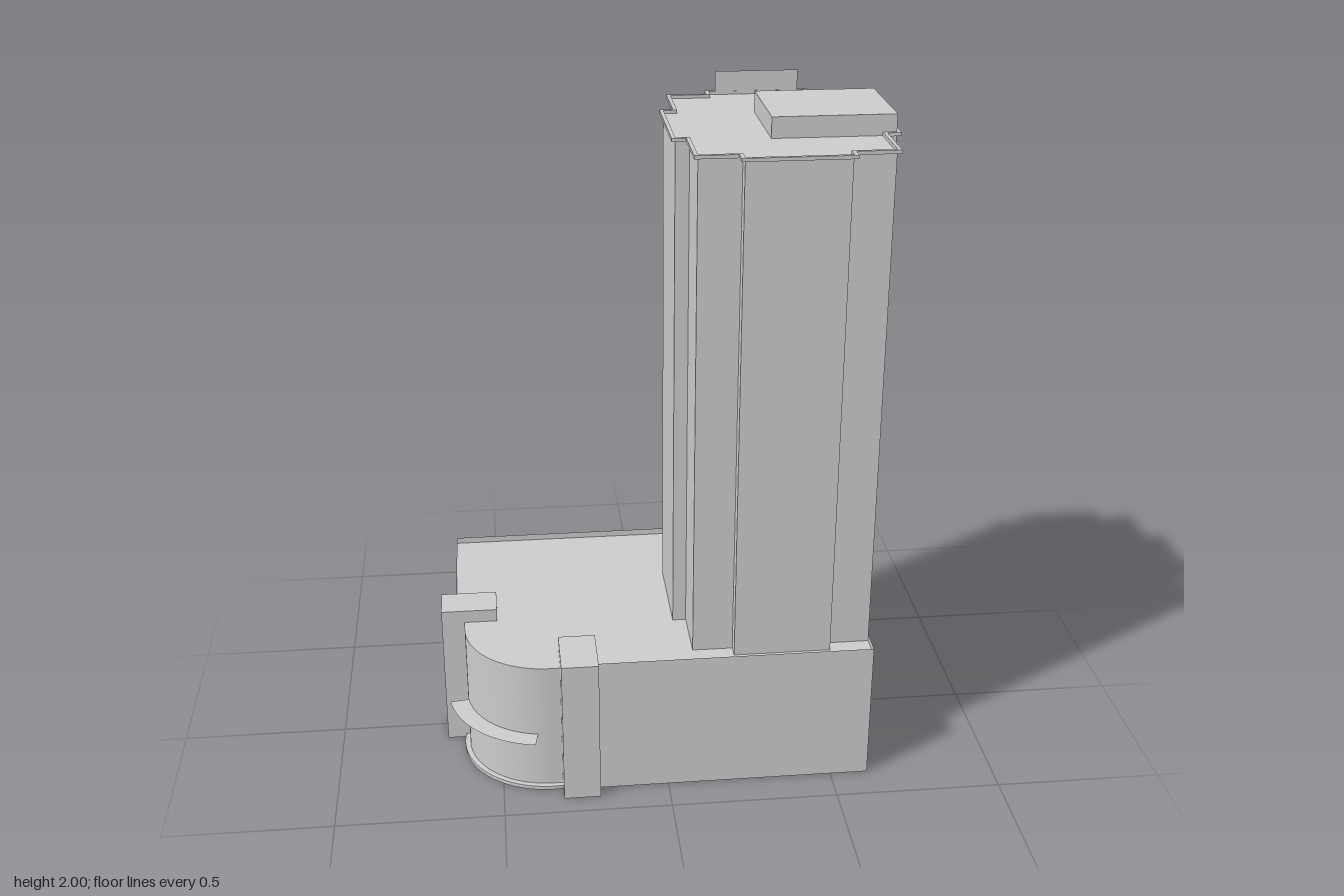
import * as THREE from 'three';

const material = new THREE.MeshStandardMaterial({ color: 0xcccccc, side: THREE.DoubleSide });

function add(parent, name, geometry, x = 0, y = 0, z = 0) {
  const mesh = new THREE.Mesh(geometry, material);
  mesh.name = name;
  mesh.position.set(x, y, z);
  parent.add(mesh);
  return mesh;
}

// Plan points are [x, z]; a shape's y becomes -z once laid flat.
const planShape = (pts) => new THREE.Shape(pts.map(([x, z]) => new THREE.Vector2(x, -z)));
const flat = (shape) => new THREE.ShapeGeometry(shape).rotateX(-Math.PI / 2);
const raised = (shape, depth) =>
  new THREE.ExtrudeGeometry(shape, { depth, bevelEnabled: false }).rotateX(-Math.PI / 2);

// Thin upright walls along a plan path that runs clockwise seen from above.
function walls(pts, y0, y1) {
  const pos = [];
  for (let i = 0; i + 1 < pts.length; i++) {
    const [ax, az] = pts[i], [bx, bz] = pts[i + 1];
    pos.push(bx, y0, bz, ax, y0, az, ax, y1, az, bx, y0, bz, ax, y1, az, bx, y1, bz);
  }
  const g = new THREE.BufferGeometry();
  g.setAttribute('position', new THREE.Float32BufferAttribute(pos, 3));
  g.computeVertexNormals();
  return g;
}

// Block without a floor.
function hollowBlock(parent, name, x0, x1, z0, z1, height) {
  const group = new THREE.Group();
  group.name = name;
  const pts = [[x0, z1], [x0, z0], [x1, z0], [x1, z1]];
  add(group, name + 'Walls', walls([...pts, pts[0]], 0, height));
  add(group, name + 'Top', flat(planShape(pts)), 0, height, 0);
  parent.add(group);
}

// Stepped tower plan, optionally grown outward by d.
function towerPlan(d = 0) {
  const x = [0.04 - d, 0.08 - d, 0.2 - d, 0.49 + d, 0.615 + d, 0.655 + d];
  const z = [-0.395 - d, -0.355 - d, -0.175 - d, 0.13 + d, 0.31 + d, 0.35 + d];
  return [
    [x[0], z[3]], [x[0], z[2]], [x[1], z[2]], [x[1], z[1]], [x[2], z[1]],
    [x[2], z[0]], [x[3], z[0]], [x[3], z[1]], [x[4], z[1]], [x[4], z[2]],
    [x[5], z[2]], [x[5], z[3]], [x[4], z[3]], [x[4], z[4]], [x[3], z[4]],
    [x[3], z[5]], [x[2], z[5]], [x[2], z[4]], [x[1], z[4]], [x[1], z[3]],
  ];
}

export function createModel() {
  const model = new THREE.Group();
  model.name = 'towerBuilding';

  // Podium: straight walls with a low parapet, open underneath
  const podium = new THREE.Group();
  podium.name = 'podium';
  model.add(podium);
  const roofY = 0.42, cx = -0.35, cz = 0.12, r = 0.25;
  const outline = [
    [-0.6, 0.03], [-0.625, 0.03], [-0.625, -0.44], [0.615, -0.44],
    [0.615, 0.39], [-0.26, 0.39], [-0.26, 0.37],
  ];
  add(podium, 'podiumWalls', walls(outline, 0, 0.44));
  add(podium, 'cornerSideWall', walls([[-0.6, cz], [-0.6, 0.03]], 0, roofY));
  add(podium, 'cornerFrontWall', walls([[-0.26, 0.37], [cx, 0.37]], 0, roofY));

  // Rounded entrance corner
  add(podium, 'curvedWall',
    new THREE.CylinderGeometry(r, r, roofY, 24, 1, true, -Math.PI / 2, Math.PI / 2),
    cx, roofY / 2, cz);
  const arc = [];
  for (let i = 0; i <= 24; i++) {
    const a = (i / 24) * Math.PI / 2;
    arc.push([cx - r * Math.sin(a), cz + r * Math.cos(a)]);
  }
  add(podium, 'podiumRoof', flat(planShape([...outline, ...arc])), 0, roofY, 0);

  // Ground ledge following the curve
  const ledge = new THREE.Shape();
  ledge.absarc(0, 0, r + 0.016, Math.PI * 0.95, Math.PI * 1.54, false);
  ledge.absarc(0, 0, r, Math.PI * 1.54, Math.PI * 0.95, true);
  add(podium, 'cornerLedge', raised(ledge, 0.012), cx, 0, cz);

  // Thin curved canopy over the entrance
  const rad = THREE.MathUtils.degToRad;
  add(podium, 'entranceCanopy',
    new THREE.RingGeometry(r, 0.307, 24, 1, rad(188.5), rad(72)).rotateX(-Math.PI / 2),
    cx, 0.19, cz);

  // Pilasters at both ends of the curve
  hollowBlock(podium, 'sidePilaster', -0.67, -0.5, -0.03, 0.08, 0.46);
  hollowBlock(podium, 'frontPilaster', -0.32, -0.21, 0.26, 0.435, 0.46);

  // Tower, with its side bay running down to the ground
  const tower = new THREE.Group();
  tower.name = 'tower';
  model.add(tower);
  const topY = 1.93;
  add(tower, 'towerShaft', raised(planShape(towerPlan()), topY - roofY), 0, roofY, 0);
  hollowBlock(tower, 'sideBay', 0.6, 0.655, -0.175, 0.13, roofY);

  // Projecting rim around the tower roof
  const rim = planShape(towerPlan(0.011));
  rim.holes.push(planShape(towerPlan()));
  add(tower, 'roofRim', raised(rim, 0.01), 0, topY, 0);

  // Rooftop plant room and thin rear panel
  add(tower, 'plantRoom', new THREE.BoxGeometry(0.35, 0.06, 0.307), 0.48, topY + 0.03, -0.0225);
  add(tower, 'rearPanel', new THREE.PlaneGeometry(0.25, 0.07), 0.345, topY + 0.035, -0.396);

  return model;
}
